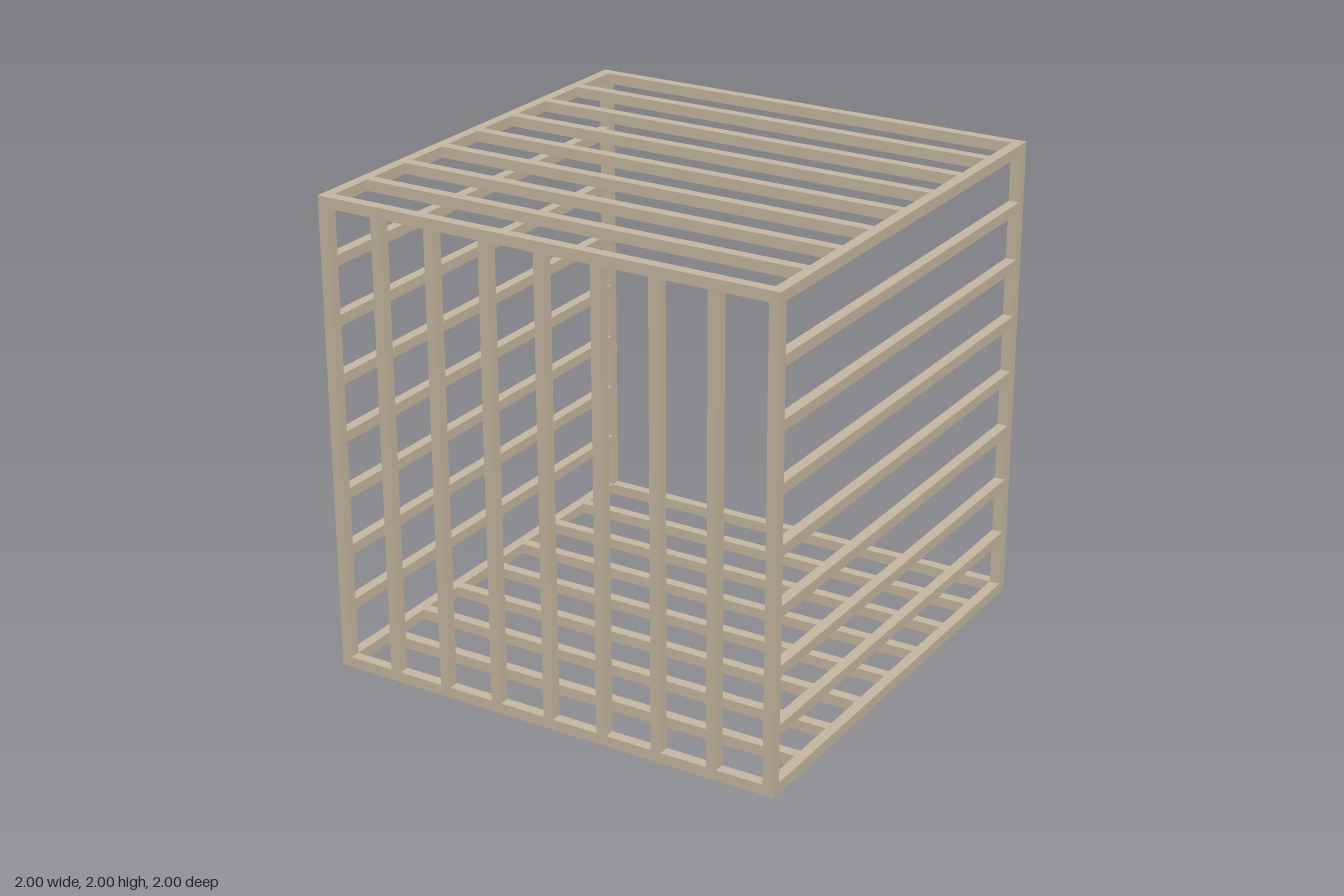
import * as THREE from 'three';

const T = 0.045;            // square bar thickness
const E = 1 - T / 2;        // centre line of the outer bars
const INNER = 2 - 2 * T;    // clear span between outer bars
const COUNT = 9;            // bars per panel, including the frame

export function createModel() {
  const group = new THREE.Group();
  const wood = new THREE.MeshStandardMaterial({ color: 0xc8b9a2 });
  wood.name = 'pale wood';

  // One square bar along an axis, placed about the cube's centre
  const bar = (name, axis, length, x, y, z) => {
    const size = { x: T, y: T, z: T };
    size[axis] = length;
    const mesh = new THREE.Mesh(new THREE.BoxGeometry(size.x, size.y, size.z), wood);
    mesh.name = name;
    mesh.position.set(x, y + 1, z);
    group.add(mesh);
  };

  // Cube frame: full-height posts with rails butted between them
  for (const a of [-E, E]) {
    for (const b of [-E, E]) {
      bar('cornerPost', 'y', 2, a, 0, b);
      bar('crossRail', 'x', INNER, 0, a, b);
      bar('sideRail', 'z', INNER, a, b, 0);
    }
  }

  // Evenly spaced slats on every panel except the open back
  for (let i = 1; i < COUNT - 1; i++) {
    const p = -E + (2 * E * i) / (COUNT - 1);
    bar('frontSlat', 'y', INNER, p, 0, E);
    bar('leftSlat', 'z', INNER, E, p, 0);
    bar('rightSlat', 'z', INNER, -E, p, 0);
    bar('roofSlat', 'x', INNER, 0, E, p);
    bar('floorSlat', 'x', INNER, 0, -E, p);
  }
  return group;
}
